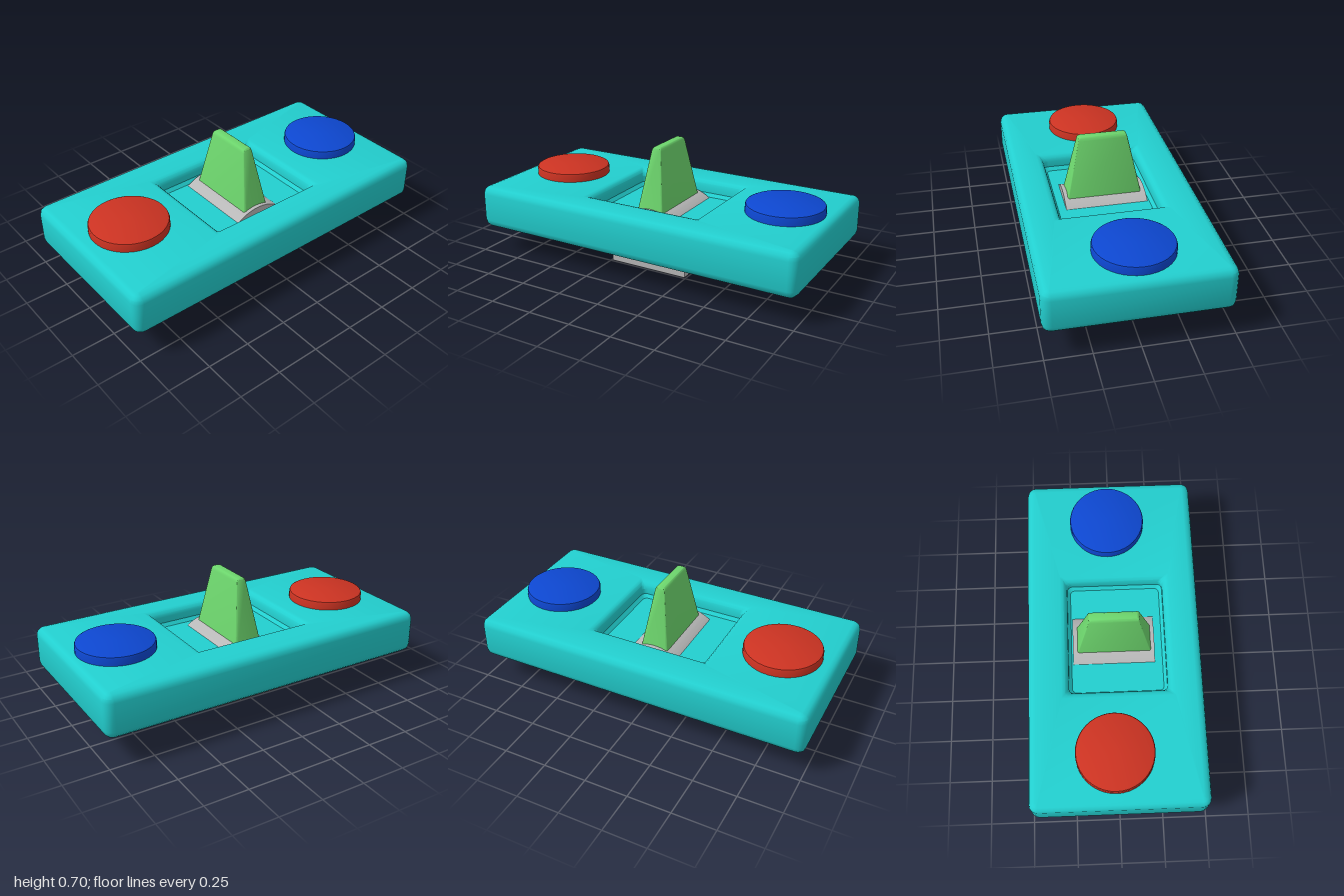
import * as THREE from 'three';
import { toCreasedNormals } from 'three/addons/utils/BufferGeometryUtils.js';

const material = (name, color, side = THREE.FrontSide) => {
  const m = new THREE.MeshStandardMaterial({ color, side });
  m.name = name;
  return m;
};

// Rounded rectangle loop at height y: half sizes hx, hz, corner radius r
function ring(hx, hz, r, y, cx = 0, cz = 0) {
  const pts = [], seg = 4;
  for (let q = 0; q < 4; q++) {
    const sx = q === 0 || q === 3 ? 1 : -1, sz = q < 2 ? 1 : -1;
    for (let i = 0; i <= seg; i++) {
      const a = (q + i / seg) * Math.PI / 2;
      pts.push([cx + sx * (hx - r) + r * Math.cos(a), y, cz + sz * (hz - r) + r * Math.sin(a)]);
    }
  }
  return pts;
}

// Skin a stack of loops and close both ends
function loft(rings) {
  const n = rings[0].length, pos = rings.flat(2), index = [];
  rings.slice(1).forEach((_, k) => {
    for (let i = 0; i < n; i++) {
      const a = k * n + i, b = k * n + (i + 1) % n;
      index.push(a, a + n, b, b, a + n, b + n);
    }
  });
  const last = (rings.length - 1) * n;
  for (let i = 1; i < n - 1; i++) index.push(0, i, i + 1, last, last + i + 1, last + i);
  const g = new THREE.BufferGeometry();
  g.setAttribute('position', new THREE.Float32BufferAttribute(pos, 3));
  g.setIndex(index);
  return toCreasedNormals(g, 0.6);
}

export function createModel() {
  const group = new THREE.Group();
  const teal = material('teal', 0x22cfcf);
  const red = material('red', 0xcc3322);
  const blue = material('blue', 0x0d47d0);
  const green = material('green', 0x6dd66d);
  const grey = material('grey', 0xb8b8b8, THREE.DoubleSide);
  const add = (name, geometry, mat) => {
    const mesh = new THREE.Mesh(geometry, mat);
    mesh.name = name;
    group.add(mesh);
    return mesh;
  };

  // Plate: rounded edges outside, then over the lip and down into the recess
  const R = 0.045, steps = 3, rings = [];
  for (const top of [false, true]) {
    for (let i = 0; i <= steps; i++) {
      const a = (top ? i : steps - i) / steps * Math.PI / 2;
      const inset = R * (1 - Math.cos(a));
      const y = top ? 0.36 + R * Math.sin(a) : 0.2 - R * Math.sin(a);
      rings.push(ring(0.5 - inset, 1 - inset, 0.05 - inset, y));
    }
  }
  const lip = [[0.04, 0.405, 0.004], [0.02, 0.4, 0.01], [0.006, 0.385, 0.02], [0, 0.365, 0.03], [0, 0.33, 0.03], [-0.018, 0.31, 0.025]];
  for (const [out, y, r] of lip) rings.push(ring(0.283 + out, 0.338 + out, r, y, 0.015, -0.005));
  add('plate', loft(rings), teal);

  // Open square sleeve below the plate
  const sleeve = new THREE.Shape();
  const sleeveGeo = new THREE.CylinderGeometry(0.24 * Math.SQRT2, 0.24 * Math.SQRT2, 0.165, 4, 1, true)
    .rotateY(Math.PI / 4).translate(0, 0.0825, 0);
  add('sleeve', toCreasedNormals(sleeveGeo, 0.5), grey);

  // Rounded rocker showing inside the recess
  sleeve.absarc(0, 0, 0.24, Math.PI * 0.25, Math.PI * 0.75, false);
  sleeve.closePath();
  const rocker = new THREE.ExtrudeGeometry(sleeve, { depth: 0.475, bevelEnabled: false, curveSegments: 24 });
  rocker.rotateY(Math.PI / 2).translate(-0.24, 0.117, 0);
  add('rocker', toCreasedNormals(rocker, 0.5), grey);

  // Tapered lever
  add('lever', loft([
    ring(0.224, 0.088, 0.012, 0.3),
    ring(0.143, 0.031, 0.01, 0.68),
    ring(0.139, 0.027, 0.01, 0.693),
    ring(0.13, 0.019, 0.008, 0.7),
  ]), green);

  // Round buttons with softened rims
  const profile = [[0, 0.39], [0.221, 0.39], [0.221, 0.443], [0.217, 0.453], [0.207, 0.458], [0, 0.458]]
    .map(([x, y]) => new THREE.Vector2(x, y));
  for (const [name, z, mat] of [['frontButton', 0.695, red], ['backButton', -0.722, blue]]) {
    add(name, toCreasedNormals(new THREE.LatheGeometry(profile, 40), 0.6), mat).position.set(-0.018, 0, z);
  }
  return group;
}
